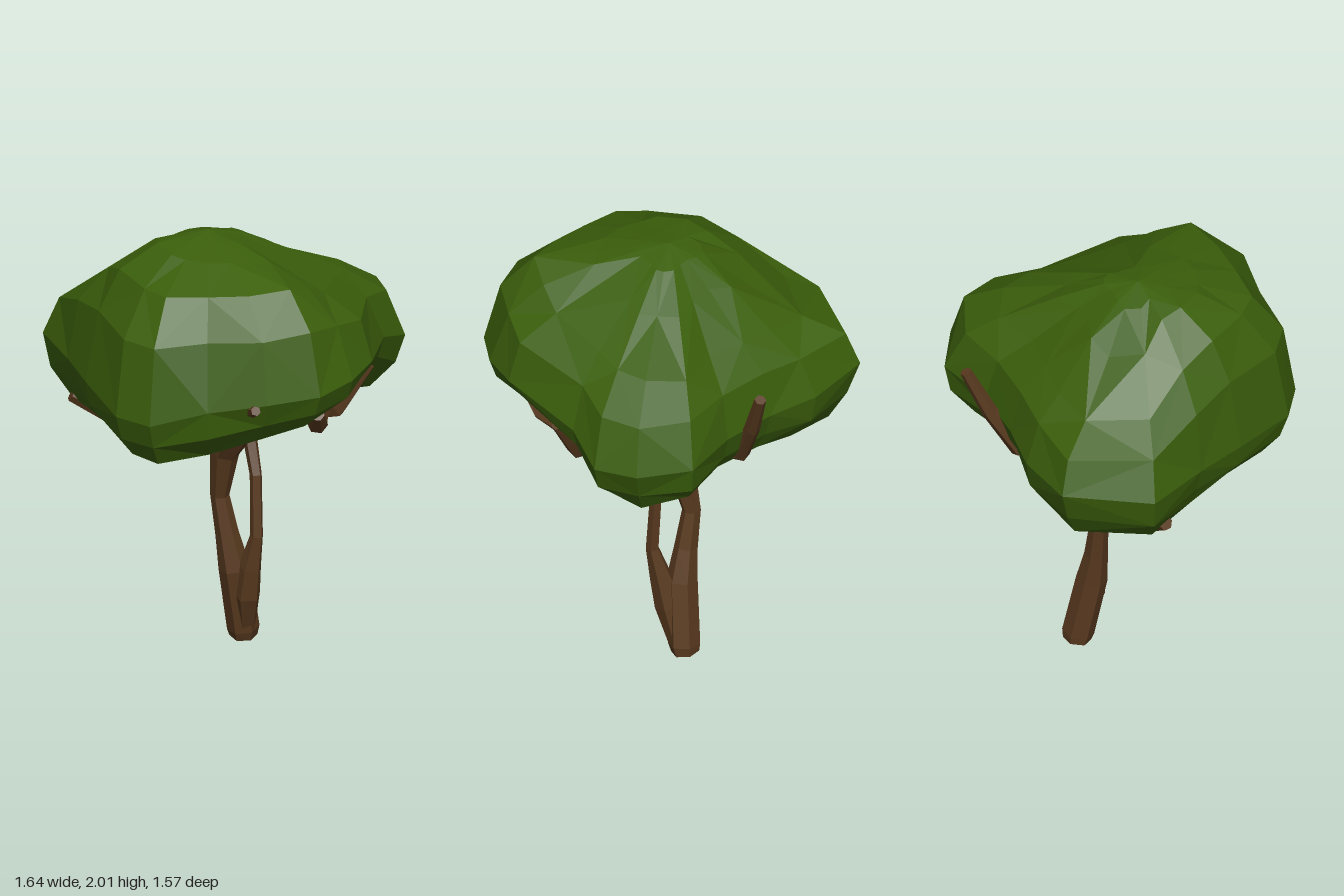
import * as THREE from 'three';

const green = new THREE.MeshStandardMaterial({ color: 0x3b5f0b, flatShading: true });
green.name = 'leaf green';
const brown = new THREE.MeshStandardMaterial({ color: 0x593a1f, flatShading: true });
brown.name = 'bark brown';

// Joins rings of points (bottom to top) into a surface; flip reverses the winding
function loft(rings, flip) {
  const n = rings[0].length, index = [];
  for (let i = 0; i < rings.length - 1; i++) {
    for (let j = 0; j < n; j++) {
      const a = i * n + j, b = i * n + (j + 1) % n, c = a + n, d = b + n;
      const tris = (i + j) % 2 ? [[a, c, b], [b, c, d]] : [[a, c, d], [a, d, b]];
      for (const [p, q, r] of tris) index.push(...(flip ? [p, r, q] : [p, q, r]));
    }
  }
  const geometry = new THREE.BufferGeometry().setFromPoints(rings.flat());
  geometry.setIndex(index);
  const flat = geometry.toNonIndexed();
  flat.computeVertexNormals();
  return flat;
}

// Tapered, angular limb through points [x, y, z, radius], closed at both ends
function limb(name, path, sides = 6) {
  const pts = path.map(([x, y, z]) => new THREE.Vector3(x, y, z));
  const side = new THREE.Vector3(), ref = new THREE.Vector3(0.31, 0.1, 0.95);
  const rings = pts.map((p, i) => {
    const dir = pts[Math.min(i + 1, pts.length - 1)].clone().sub(pts[Math.max(i - 1, 0)]).normalize();
    side.copy(ref).addScaledVector(dir, -ref.dot(dir)).normalize();
    ref.copy(side);
    const other = dir.clone().cross(side);
    return Array.from({ length: sides }, (_, k) => {
      const t = k / sides * Math.PI * 2;
      return p.clone().addScaledVector(side, Math.cos(t) * path[i][3]).addScaledVector(other, Math.sin(t) * path[i][3]);
    });
  });
  const cap = (p) => Array.from({ length: sides }, () => p.clone());
  const mesh = new THREE.Mesh(loft([cap(pts[0]), ...rings, cap(pts[pts.length - 1])], true), brown);
  mesh.name = name;
  return mesh;
}

// Canopy columns: outline x, z, then heights of widest point, shoulder, crown and lower rim
const columns = [
  [-0.82, 0.0, 1.40, 1.64, 1.81, 1.11],
  [-0.61, -0.22, 1.38, 1.66, 1.85, 1.14],
  [-0.40, -0.35, 1.38, 1.69, 1.87, 1.17],
  [-0.20, -0.52, 1.38, 1.69, 1.86, 1.16],
  [-0.03, -0.75, 1.38, 1.69, 1.85, 1.15],
  [0.22, -0.79, 1.38, 1.72, 1.85, 1.13],
  [0.40, -0.71, 1.38, 1.73, 1.86, 1.16],
  [0.48, -0.50, 1.45, 1.75, 1.88, 1.28],
  [0.74, -0.17, 1.50, 1.79, 1.90, 1.34],
  [0.81, 0.02, 1.48, 1.85, 1.93, 1.32],
  [0.82, 0.23, 1.46, 1.90, 1.94, 1.29],
  [0.71, 0.45, 1.45, 1.88, 1.95, 1.24],
  [0.50, 0.61, 1.40, 1.87, 1.95, 1.16],
  [0.29, 0.76, 1.32, 1.86, 1.95, 1.11],
  [0.10, 0.78, 1.32, 1.86, 1.96, 1.11],
  [-0.22, 0.65, 1.36, 1.87, 1.97, 1.16],
  [-0.45, 0.53, 1.37, 1.81, 1.95, 1.14],
  [-0.74, 0.40, 1.38, 1.66, 1.85, 1.10],
];

function canopy() {
  const cx = 0.01, cz = 0.12;
  // Each level: scale of the outline, and height picked from a column
  const levels = [
    [0, () => 1.19],
    [0.45, () => 1.19],
    [0.84, (c) => c[5]],
    [0.95, (c) => c[5] + (c[2] - c[5]) * 0.45],
    [1, (c) => c[2]],
    [0.91, (c) => c[2] + (c[3] - c[2]) * 0.64],
    [0.71, (c) => c[3]],
    [0.4, (c) => c[4]],
    [0.18, (c) => 1.98 + (c[4] - 1.95) * 0.2],
    [0, () => 2],
  ];
  const rings = levels.map(([s, height], i) => columns.map((c, j) => {
    const wobble = s > 0.2 && s < 1 ? 0.02 * Math.sin(j * 2.3 + i * 1.7) : 0;
    const k = s + wobble;
    return new THREE.Vector3(cx + (c[0] - cx) * k, height(c), cz + (c[1] - cz) * k);
  }));
  const mesh = new THREE.Mesh(loft(rings, false), green);
  mesh.name = 'canopy';
  return mesh;
}

export function createModel() {
  const tree = new THREE.Group();
  tree.name = 'tree';
  tree.add(canopy());

  // Trunk with a thin second stem that parts low down and rejoins near the top
  tree.add(limb('trunk', [
    [-0.04, 0, -0.145, 0.062], [-0.035, 0.04, -0.14, 0.072], [-0.03, 0.34, -0.08, 0.07],
    [-0.05, 0.5, -0.055, 0.052], [-0.075, 0.68, -0.035, 0.042], [-0.03, 0.9, -0.02, 0.065],
    [0.09, 1.1, -0.015, 0.1], [0.13, 1.24, -0.02, 0.075]]));
  tree.add(limb('sideStem', [
    [-0.01, 0.02, -0.14, 0.035], [0.03, 0.22, -0.1, 0.062], [0.06, 0.36, -0.09, 0.052], [0.1, 0.52, -0.09, 0.03],
    [0.085, 0.8, -0.1, 0.028], [0.02, 0.99, -0.12, 0.034], [-0.1, 1.13, -0.19, 0.038]], 5));

  // Branches spreading below and through the canopy
  tree.add(limb('leftBranch', [
    [0.04, 1.1, -0.03, 0.055], [-0.15, 1.05, 0.02, 0.05], [-0.32, 0.965, 0.1, 0.05],
    [-0.45, 1.04, 0.27, 0.042], [-0.56, 1.14, 0.4, 0.034]]));
  tree.add(limb('backBranch', [
    [0.08, 1.13, -0.04, 0.055], [-0.1, 1.15, -0.19, 0.05], [-0.27, 1.2, -0.35, 0.047],
    [-0.31, 1.4, -0.47, 0.036], [-0.34, 1.62, -0.57, 0.026]]));
  tree.add(limb('rightBackBranch', [
    [0.08, 1.13, -0.02, 0.075], [0.28, 1.17, -0.12, 0.065], [0.44, 1.19, -0.24, 0.058], [0.54, 1.38, -0.35, 0.026]]));
  tree.add(limb('rightBranch', [
    [0.38, 1.18, -0.2, 0.05], [0.5, 1.19, -0.06, 0.05], [0.58, 1.21, 0.01, 0.046], [0.63, 1.28, 0.06, 0.032]]));
  tree.add(limb('frontRightBranch', [
    [0.08, 1.13, 0, 0.055], [0.25, 1.15, 0.25, 0.047], [0.4, 1.2, 0.42, 0.042],
    [0.52, 1.35, 0.4, 0.035], [0.7, 1.44, 0.51, 0.022]]));
  tree.add(limb('frontBranch', [
    [0.06, 1.12, 0, 0.05], [-0.08, 1.14, 0.24, 0.045], [-0.21, 1.18, 0.48, 0.038]]));
  return tree;
}
